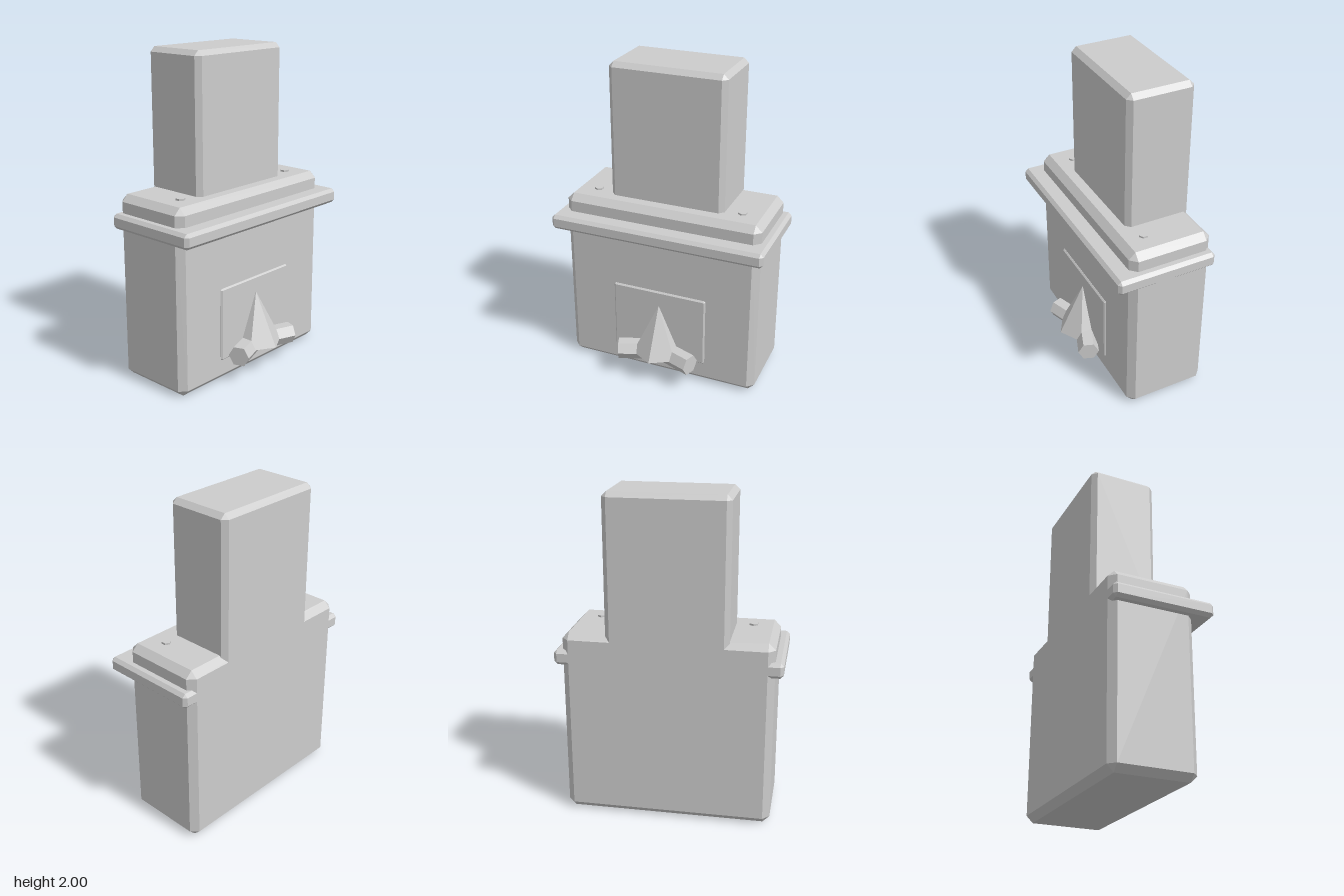
import * as THREE from 'three';
import { ConvexGeometry } from 'three/addons/geometries/ConvexGeometry.js';

const stone = new THREE.MeshStandardMaterial({ color: 0xcccccc, flatShading: true });
stone.name = 'stone grey';

// Box between two corners with every edge chamfered by c
function chamferBox([x0, y0, z0], [x1, y1, z1], c) {
  const half = [(x1 - x0) / 2, (y1 - y0) / 2, (z1 - z0) / 2];
  const points = [];
  for (const sx of [-1, 1]) for (const sy of [-1, 1]) for (const sz of [-1, 1]) {
    for (let axis = 0; axis < 3; axis++) {
      const [hx, hy, hz] = half.map((h, i) => (i === axis ? h : h - c));
      points.push(new THREE.Vector3(sx * hx, sy * hy, sz * hz));
    }
  }
  return new ConvexGeometry(points).translate((x0 + x1) / 2, (y0 + y1) / 2, (z0 + z1) / 2);
}

export function createModel() {
  const group = new THREE.Group();
  group.name = 'fireplace';
  const add = (name, geometry) => {
    const mesh = new THREE.Mesh(geometry, stone);
    mesh.name = name;
    group.add(mesh);
    return mesh;
  };

  // Masonry, all flush at the back
  const back = -0.351;
  add('hearthBody', chamferBox([-0.632, 0, back], [0.632, 1.16, 0.172], 0.041));
  add('mantelShelf', chamferBox([-0.683, 0.957, back], [0.683, 1.05, 0.277], 0.02));
  add('chimney', chamferBox([-0.368, 1.08, back], [0.368, 2, 0.067], 0.03));

  // Raised plate behind the fire
  add('fireboxPlate', chamferBox([-0.308, 0.14, 0.15], [0.308, 0.602, 0.183], 0.009));

  // Flame rising from two crossed logs
  add('flame', new THREE.ConeGeometry(0.166, 0.328, 6)).position.set(0, 0.339, 0.185);
  for (const side of [-1, 1]) {
    const log = new THREE.CylinderGeometry(0.066, 0.066, 0.526, 6);
    log.rotateZ(Math.PI / 2).rotateY(-side * 0.35);
    add(side > 0 ? 'leftLog' : 'rightLog', log).position.set(0, 0.173, 0.175);

    // Small hexagonal stud on top of the body
    add(side > 0 ? 'leftStud' : 'rightStud', new THREE.CylinderGeometry(0.029, 0.029, 0.03, 6))
      .position.set(side * 0.473, 1.156, 0.015);
  }
  return group;
}
